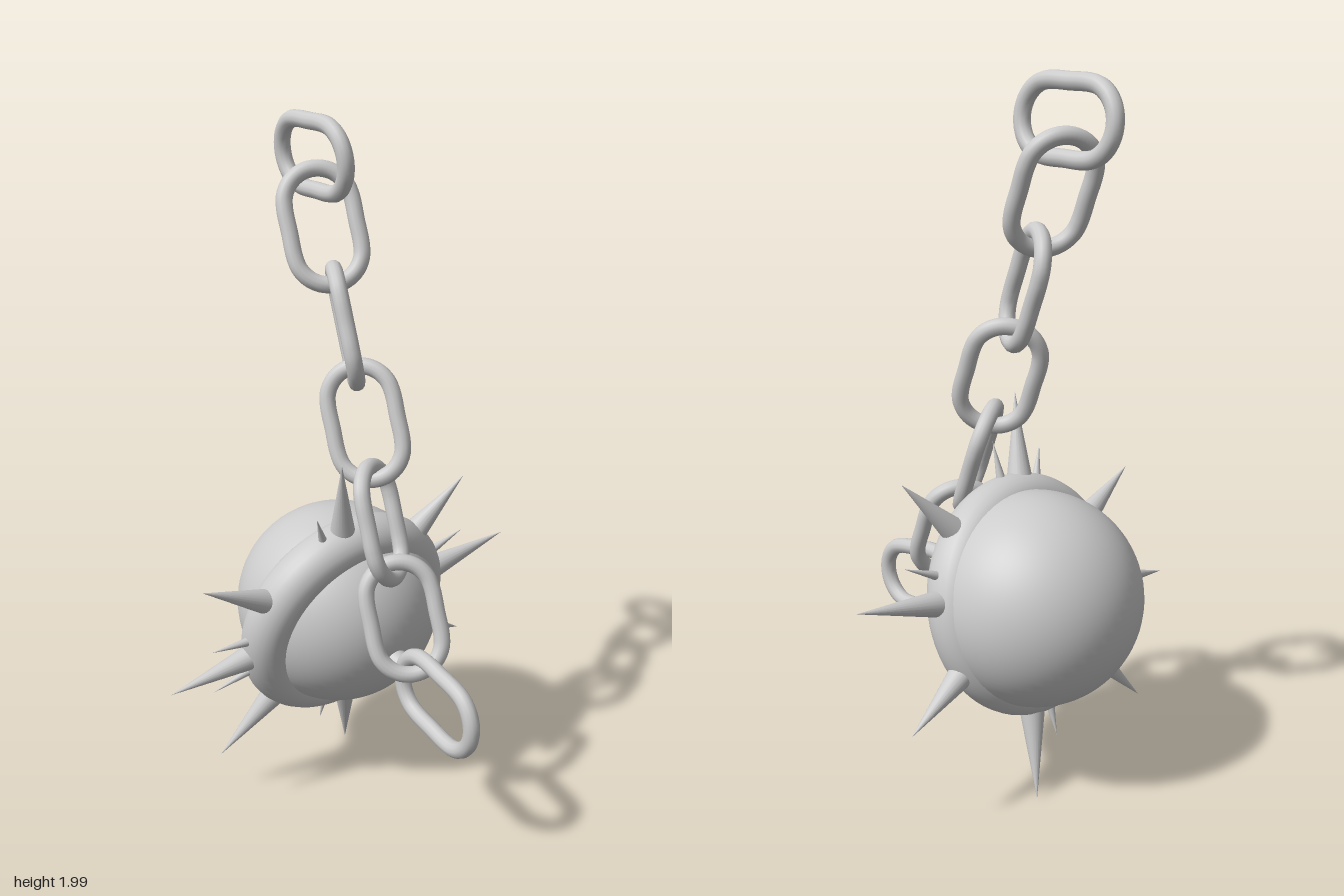
import * as THREE from 'three';

const material = new THREE.MeshStandardMaterial({ color: 0xcccccc });
const V = (x, y, z) => new THREE.Vector3(x, y, z);
const UP = V(0, 1, 0);

const BALL_CENTRE = V(0.015, 0.57, -0.19);
const BAND_CENTRE = V(-0.004, 0.558, -0.131);
const AXIS = V(0.033, -0.287, 1).normalize(); // axis of the band and lug

function part(name, geometry, parent) {
  const mesh = new THREE.Mesh(geometry, material);
  mesh.name = name;
  parent.add(mesh);
  return mesh;
}

// Stadium-shaped link: long side along local y, short side along local x
function linkGeometry() {
  const straight = 0.066, bend = 0.094, wire = 0.0235, points = [];
  for (const side of [1, -1]) {
    for (let i = 0; i <= 8; i++) {
      const a = (i / 8) * Math.PI;
      points.push(V(side * bend * Math.cos(a), side * (straight + bend * Math.sin(a)), 0));
    }
    points.push(V(-side * bend, 0, 0));
  }
  const path = new THREE.CatmullRomCurve3(points, true, 'centripetal');
  return new THREE.TubeGeometry(path, 72, wire, 12, true);
}

// Place a link by its centre, long direction and short direction
function addLink(geometry, centre, long, short, parent) {
  const y = long.clone().normalize();
  const z = short.clone().cross(y).normalize();
  const x = y.clone().cross(z);
  const mesh = part('chainLink', geometry, parent);
  mesh.quaternion.setFromRotationMatrix(new THREE.Matrix4().makeBasis(x, y, z));
  mesh.position.copy(centre);
}

// Cone in the band's plane, from inside the band out to its tip
function addSpike(name, degrees, reach, base, start, parent) {
  const a = THREE.MathUtils.degToRad(degrees);
  const dx = Math.cos(a), dy = Math.sin(a);
  const dir = V(dx, dy, -0.033 * dx + 0.287 * dy).normalize();
  const mesh = part(name, new THREE.ConeGeometry(base, reach - start, 20), parent);
  mesh.quaternion.setFromUnitVectors(UP, dir);
  mesh.position.copy(BAND_CENTRE).addScaledVector(dir, (reach + start) / 2);
}

export function createModel() {
  const model = new THREE.Group();
  model.name = 'spikedBallAndChain';

  // Ball
  part('ball', new THREE.SphereGeometry(0.302, 64, 40), model).position.copy(BALL_CENTRE);

  // Bulging band around the ball
  const band = part('band', new THREE.TorusGeometry(0.27, 0.072, 24, 72), model);
  band.scale.z = 1.07;
  band.quaternion.setFromUnitVectors(V(0, 0, 1), AXIS);
  band.position.copy(BAND_CENTRE);

  // Lug that holds the chain
  const lug = part('chainLug', new THREE.CylinderGeometry(0.03, 0.04, 0.1, 20), model);
  lug.quaternion.setFromUnitVectors(UP, AXIS);
  lug.position.copy(BALL_CENTRE).addScaledVector(AXIS, 0.325);

  // Large spikes and thin needles: [angle, reach]
  const spikes = new THREE.Group();
  spikes.name = 'spikes';
  model.add(spikes);
  for (const [angle, reach] of [[11.5, 0.602], [47, 0.543], [101, 0.572], [155, 0.567],
    [190, 0.584], [228, 0.574], [281, 0.582], [335, 0.555]])
    addSpike('spike', angle, reach, 0.039, 0.31, spikes);
  for (const [angle, reach] of [[24, 0.45], [88, 0.445], [113, 0.425], [179, 0.456],
    [199, 0.46], [268, 0.432]])
    addSpike('needle', angle, reach, 0.016, 0.31, spikes);

  // Chain
  const chain = new THREE.Group();
  chain.name = 'chain';
  model.add(chain);
  const link = linkGeometry();
  addLink(link, V(-0.004, 1.883, -0.263), V(0, 0, 1), V(-0.1, 1, 0), chain);
  // Sloping run of links, each twisted about the run: [x, y, z, twist]
  const slope = THREE.MathUtils.degToRad(21);
  const along = V(0, Math.cos(slope), -Math.sin(slope));
  const across = V(0, Math.sin(slope), Math.cos(slope));
  for (const [x, y, z, twist] of [[0, 1.697, -0.223, 25], [0.005, 1.438, -0.125, -60],
    [0.013, 1.178, -0.04, 45], [-0.003, 0.918, 0.066, -33], [0, 0.663, 0.172, 28]]) {
    const t = THREE.MathUtils.degToRad(twist);
    const short = V(Math.cos(t), 0, 0).addScaledVector(across, Math.sin(t));
    addLink(link, V(x, y, z), along, short, chain);
  }
  addLink(link, V(0.005, 0.462, 0.32), V(0, 0.2, -1), V(0, 1, 0.2), chain);

  return model;
}
